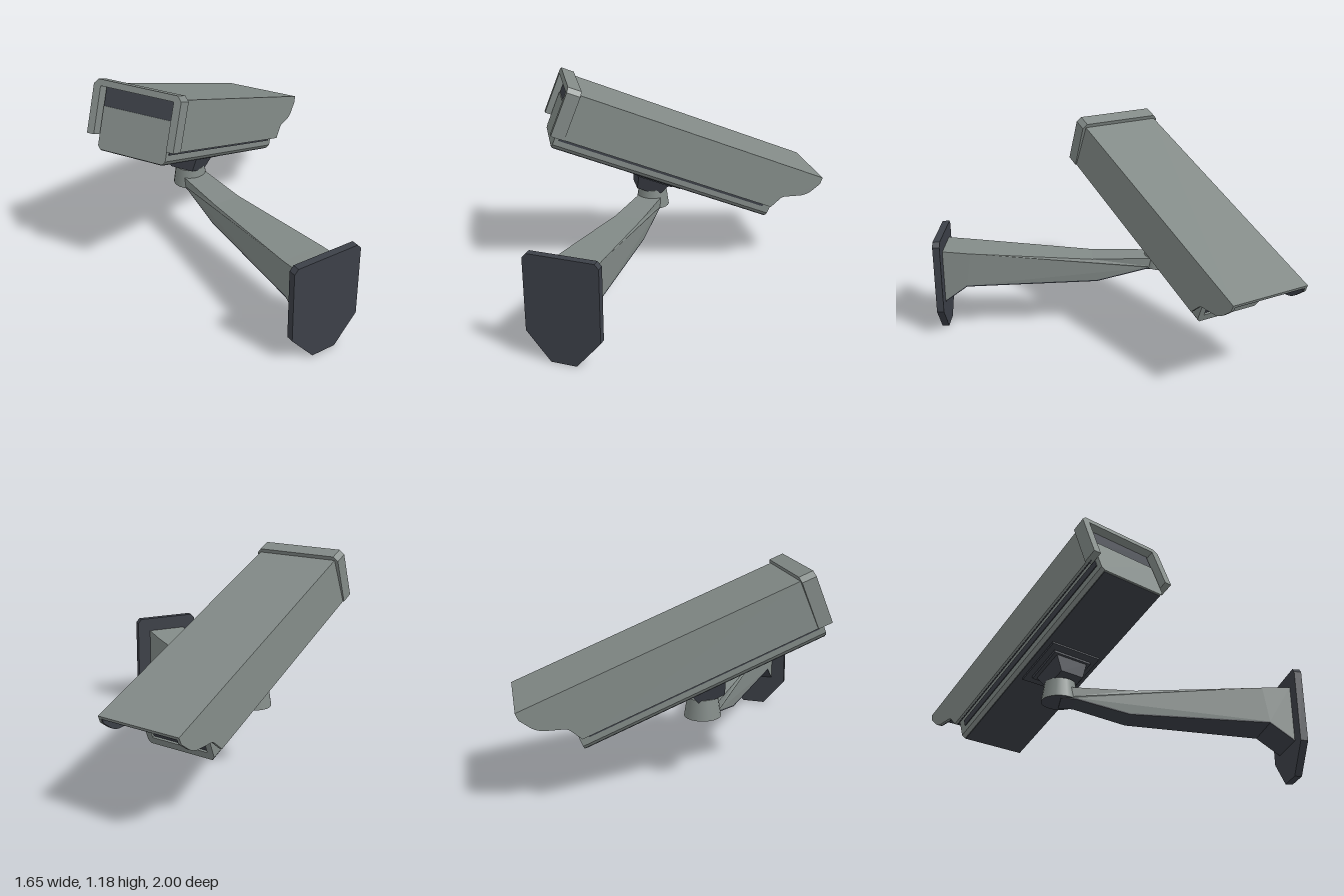
import * as THREE from 'three';

const material = (name, color) => {
  const m = new THREE.MeshStandardMaterial({ color });
  m.name = name;
  return m;
};

const polygon = (points) => new THREE.Shape(points.map(([x, y]) => new THREE.Vector2(x, y)));

// Extrude a polygon along z from z0 to z1
function prism(shape, z0, z1) {
  const g = new THREE.ExtrudeGeometry(shape, { depth: z1 - z0, bevelEnabled: false, curveSegments: 5 });
  return g.translate(0, 0, z0);
}

// Extrude a side profile drawn as (z, y) across x, centred on x = 0
function sideProfile(shape, width) {
  return prism(shape, -width / 2, width / 2).rotateY(-Math.PI / 2);
}

// Side profile whose width narrows away from the wall
function taperedProfile(points) {
  const g = sideProfile(polygon(points), 1);
  const p = g.attributes.position;
  for (let i = 0; i < p.count; i++) {
    const t = THREE.MathUtils.clamp((p.getZ(i) + 0.1) / 0.9, 0, 1);
    p.setX(i, p.getX(i) * (0.14 + 0.1 * t));
  }
  g.computeVertexNormals();
  return g;
}

export function createModel() {
  const grey = material('housing grey', 0x828a87);
  const dark = material('dark slate', 0x3c4048);
  const model = new THREE.Group();

  function add(parent, name, geometry, mat, x = 0, y = 0, z = 0) {
    const mesh = new THREE.Mesh(geometry, mat);
    mesh.name = name;
    mesh.position.set(x, y, z);
    parent.add(mesh);
    return mesh;
  }
  const box = (w, h, d) => new THREE.BoxGeometry(w, h, d);

  // Wall plate
  const plate = polygon([[-0.07, 0], [0.07, 0], [0.202, 0.155], [0.202, 0.555], [0.18, 0.58],
    [-0.18, 0.58], [-0.202, 0.555], [-0.202, 0.155]]);
  add(model, 'wallPlate', prism(plate, 0.96, 1), dark, -0.16);

  // Arm with a dark underside
  const under = [[0.96, 0.19], [0.83, 0.285], [0.07, 0.298], [-0.22, 0.37], [-0.3, 0.37]];
  const top = [[-0.3, 0.43], [0.1, 0.43], [0.8, 0.483], [0.96, 0.497]];
  add(model, 'arm', taperedProfile([...under, ...top]), grey, -0.16);
  const lowered = under.map(([z, y]) => [z, y - 0.007]).reverse();
  add(model, 'armUnderside', taperedProfile([...under, ...lowered]), dark, -0.16);

  // Swivel cup at the arm's end, dark below
  add(model, 'swivelCup', new THREE.CylinderGeometry(0.083, 0.1, 0.11, 20), [grey, grey, dark],
    -0.16, 0.422, -0.3);

  // Camera: local +z is the viewing direction, the origin is the front of the hood's top
  const camera = new THREE.Group();
  camera.name = 'cameraHousing';
  camera.position.set(0.703, 0.55, -0.795);
  camera.rotation.set(THREE.MathUtils.degToRad(22), THREE.MathUtils.degToRad(120), 0, 'YXZ');
  model.add(camera);

  // Cover: top sheet and two slightly flared sides with a stepped front edge, lined in dark
  const half = 0.24, wall = 0.014, lining = 0.006;
  add(camera, 'coverTop', box(half * 2, wall, 1.57), grey, 0, -wall / 2, -0.785);
  add(camera, 'coverTopLining', box((half - wall) * 2, lining, 1.565), dark, 0, -wall - lining / 2, -0.785);
  const side = new THREE.Shape();
  side.moveTo(-1.57, 0);
  side.lineTo(-1.57, -0.268);
  side.lineTo(-0.238, -0.268);
  side.lineTo(-0.205, -0.205);
  side.quadraticCurveTo(-0.195, -0.185, -0.17, -0.177);
  side.lineTo(-0.085, -0.143);
  side.quadraticCurveTo(-0.05, -0.125, -0.03, -0.09);
  side.lineTo(0, -0.04);
  side.lineTo(0, 0);
  for (const s of [1, -1]) {
    const label = s > 0 ? 'Right' : 'Left';
    const layer = (thickness, inset) => sideProfile(side, thickness)
      .translate(-s * (inset + thickness / 2), 0, 0).rotateZ(s * 0.05);
    add(camera, 'coverSide' + label, layer(wall, 0), grey, s * half);
    add(camera, 'coverLining' + label, layer(lining, wall), dark, s * half, -0.002, -0.002);
    // Dark groove between cover and tray
    add(camera, 'groove' + label, box(0.008, 0.04, 1.3), dark, s * 0.205, -0.272, -0.92);
  }

  // Rear collar: an upside-down U around the cover
  const collar = polygon([[-0.26, -0.268], [-0.26, -0.005], [-0.235, 0.022], [0.235, 0.022],
    [0.26, -0.005], [0.26, -0.268], [0.218, -0.268], [0.218, -0.012], [-0.218, -0.012], [-0.218, -0.268]]);
  add(camera, 'rearCollar', prism(collar, -1.63, -1.55), grey);

  // Inner body: grey tray with a dark underside and a dark upper core
  const tray = [[-0.188, -0.345], [0.188, -0.345], [0.204, -0.325]];
  add(camera, 'tray', prism(polygon([...tray, [0.204, -0.115], [-0.204, -0.115], [-0.204, -0.325]]),
    -1.595, -0.28), grey);
  add(camera, 'trayUnderside', box(0.372, 0.006, 1.36), dark, 0, -0.346, -0.907);
  add(camera, 'core', box(0.412, 0.1, 1.33), dark, 0, -0.066, -0.925);

  // Front: grey U-shaped rim below, dark face above, and a window panel
  const rim = polygon([...tray, [0.204, -0.15], [0.168, -0.15], [0.168, -0.303],
    [-0.168, -0.303], [-0.168, -0.15], [-0.204, -0.15], [-0.204, -0.325]]);
  add(camera, 'frontRim', prism(rim, -0.281, -0.222), grey);
  add(camera, 'upperFace', box(0.406, 0.132, 0.045), dark, 0, -0.084, -0.2585);
  add(camera, 'windowSurround', box(0.338, 0.285, 0.046), dark, 0, -0.162, -0.257);
  add(camera, 'window', box(0.26, 0.18, 0.006), dark, 0, -0.17, -0.232);

  // Mounting plates and tapered block beneath the body
  add(camera, 'mountPlate', box(0.31, 0.014, 0.3), dark, 0, -0.354, -0.93);
  add(camera, 'mountPad', box(0.24, 0.016, 0.22), dark, 0, -0.368, -0.93);
  const block = new THREE.CylinderGeometry(0.14, 0.1, 0.085, 4, 1).rotateY(Math.PI / 4).toNonIndexed();
  block.computeVertexNormals();
  add(camera, 'mountBlock', block, dark, 0, -0.418, -0.93);

  return model;
}
